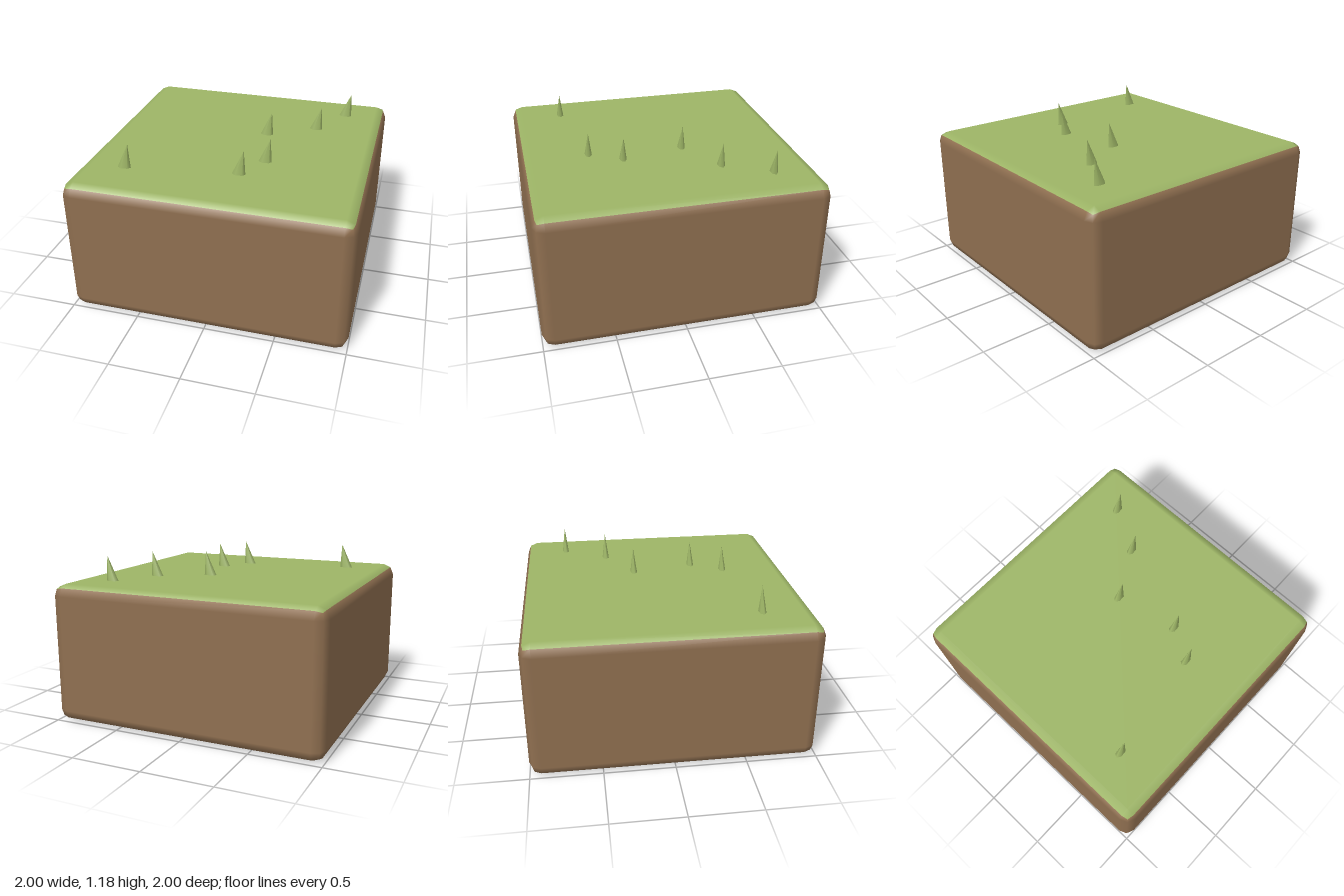
import * as THREE from 'three';
import { RoundedBoxGeometry } from 'three/addons/geometries/RoundedBoxGeometry.js';

export function createModel() {
  const grass = new THREE.MeshStandardMaterial({ color: 0x9db566 });
  grass.name = 'grass green';
  const soil = new THREE.MeshStandardMaterial({ color: 0x8f6f50 });
  soil.name = 'soil brown';

  const model = new THREE.Group();
  model.name = 'grassBlock';

  // Bevelled soil block; only the top side (group 2) is grass
  const block = new THREE.Mesh(
    new RoundedBoxGeometry(2, 1, 2, 1, 0.08),
    [soil, soil, grass, soil, soil, soil]
  );
  block.name = 'block';
  block.position.y = 0.5;
  model.add(block);

  // Flattened six-sided blade, sheared so its tip leans towards +x
  const height = 0.18, lean = 0.037;
  const bladeGeometry = new THREE.ConeGeometry(1, height, 6, 1, true)
    .rotateY(Math.PI / 2 + 0.15)
    .translate(0, height / 2, 0)
    .scale(0.048, 1, 0.026);
  bladeGeometry.applyMatrix4(new THREE.Matrix4().makeShear(0, 0, lean / height, 0, 0, 0));

  // Makes sure the lean follows x with growing y
  const tipX = bladeGeometry.attributes.position.getX(0);
  if (Math.abs(tipX - lean) > 0.001) {
    const p = bladeGeometry.attributes.position;
    for (let i = 0; i < p.count; i++) p.setX(i, p.getX(i) + (lean - tipX) * p.getY(i) / height);
  }

  // Scattered blades, as [x, z]
  const spots = [
    [-0.675, 0.63], [0.123, 0.52], [0.255, 0.29],
    [0.16, -0.165], [0.507, -0.36], [0.692, -0.68],
  ];
  spots.forEach(([x, z], i) => {
    const blade = new THREE.Mesh(bladeGeometry, grass);
    blade.name = `grassBlade${i + 1}`;
    blade.position.set(x, 1, z);
    model.add(blade);
  });

  return model;
}
